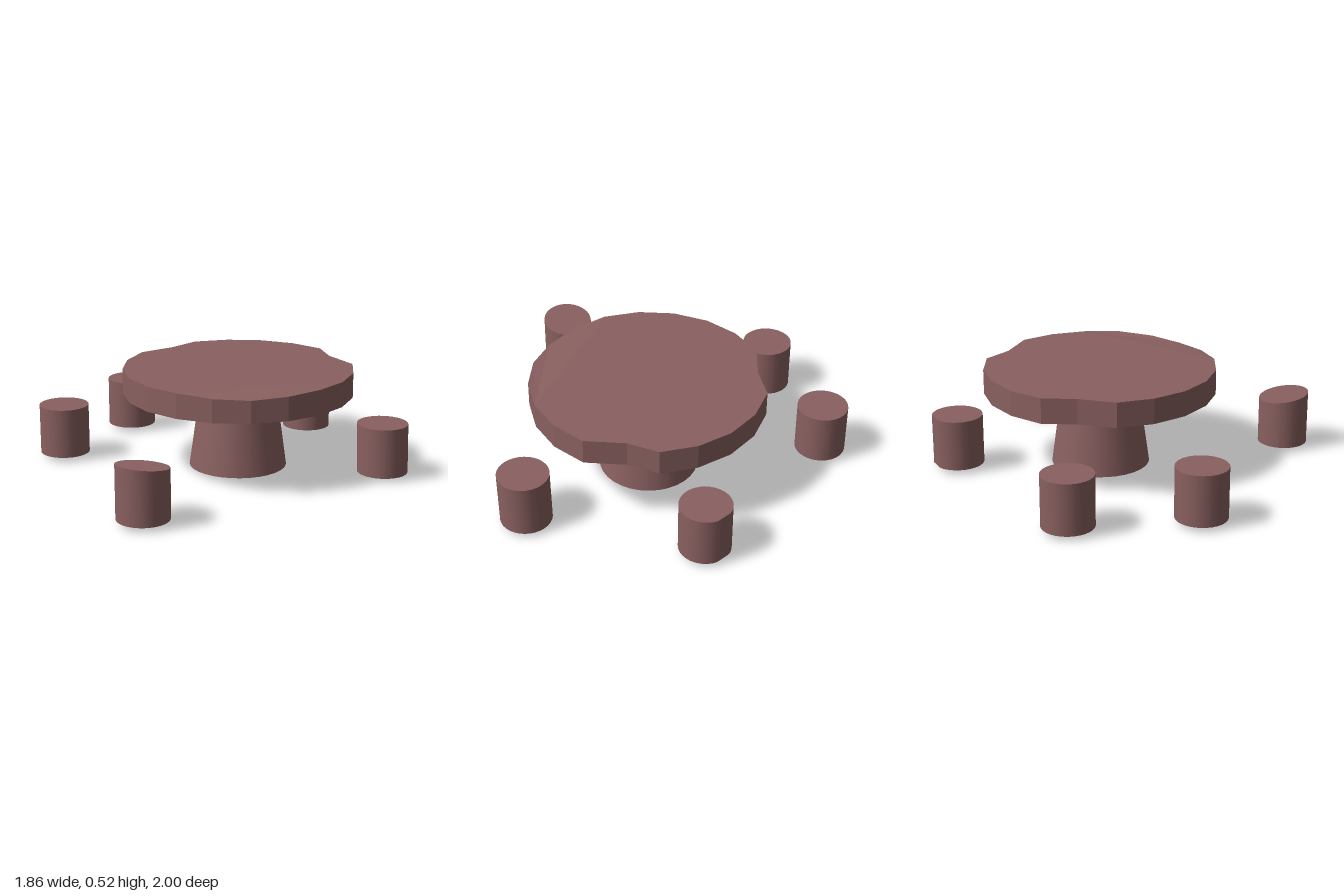
import * as THREE from 'three';

const TOP = 0.525, UNDER = 0.395;
const CX = 0.06, CZ = -0.13;
const material = new THREE.MeshStandardMaterial({ color: 0x8a6060, side: THREE.DoubleSide });

// Twenty-sided slab with two chipped corners and a slightly sagging front edge
function createTableTop() {
  const chips = { 3: [0.36, -0.58], 9: [-0.46, -0.31] };
  const sag = { 16: 0.01, 17: 0.015, 18: 0.007 };
  const points = [];
  for (let i = 0; i < 20; i++) {
    const a = (i * Math.PI) / 10;
    const [x, z] = chips[i] ?? [CX + 0.6 * Math.cos(a), CZ - 0.6 * Math.sin(a)];
    points.push(new THREE.Vector2(x, -z));
  }
  const geometry = new THREE.ExtrudeGeometry(new THREE.Shape(points), { depth: TOP - UNDER, bevelEnabled: false });
  geometry.rotateX(-Math.PI / 2).translate(0, UNDER, 0);
  const pos = geometry.attributes.position;
  for (let i = 0; i < pos.count; i++) {
    if (pos.getY(i) < TOP - 0.01) continue;
    const corner = points.findIndex(p => Math.hypot(p.x - pos.getX(i), p.y + pos.getZ(i)) < 0.01);
    pos.setY(i, TOP - (sag[corner] ?? 0));
  }
  geometry.computeVertexNormals();
  return new THREE.Mesh(geometry, material);
}

// Stool: closed seat, open underneath; tilt slopes the seat, lean shears the body in z
function createStool({ x, z, tilt = 0, lean = 0, chipped = false }) {
  const r = 0.13, h = 0.26;
  const stool = new THREE.Group();
  const side = new THREE.CylinderGeometry(r, r, h, 32, 1, true);
  const seat = new THREE.CircleGeometry(r, 32).rotateX(-Math.PI / 2).translate(0, h / 2, 0);
  for (const [name, geometry] of [['stoolSide', side], ['stoolSeat', seat]]) {
    const pos = geometry.attributes.position;
    for (let i = 0; i < pos.count; i++) {
      const px = pos.getX(i);
      let pz = pos.getZ(i), py = pos.getY(i);
      // flat chip on the back rim
      if (chipped && pz < -0.09 && px < 0 && px > -0.085) pz = Math.max(pz, -0.13 - px * 0.35);
      if (py > 0) {
        py += tilt * pz;
        pz += lean;
      }
      pos.setXYZ(i, px, py, pz);
    }
    geometry.computeBoundingSphere();
    const mesh = new THREE.Mesh(geometry, material);
    mesh.name = name;
    stool.add(mesh);
  }
  stool.position.set(x, 0.025 + h / 2, z);
  return stool;
}

export function createModel() {
  const model = new THREE.Group();
  model.name = 'roundTableWithStools';

  const tableTop = createTableTop();
  tableTop.name = 'tableTop';
  model.add(tableTop);

  // Tapered pedestal, open at the floor
  const pedestal = new THREE.Mesh(new THREE.CylinderGeometry(0.2, 0.255, UNDER, 32, 1, true), material);
  pedestal.name = 'pedestal';
  pedestal.position.set(CX, UNDER / 2, CZ);
  model.add(pedestal);

  // Five stools around the table
  const stools = [
    { x: 0.13, z: 0.87, tilt: 0.16 },
    { x: 0.8, z: -0.335, lean: 0.015 },
    { x: 0.08, z: -0.87, chipped: true },
    { x: -0.8, z: -0.4 },
    { x: -0.8, z: 0.235 },
  ];
  stools.forEach((spec, i) => {
    const stool = createStool(spec);
    stool.name = `stool${i + 1}`;
    model.add(stool);
  });
  return model;
}
